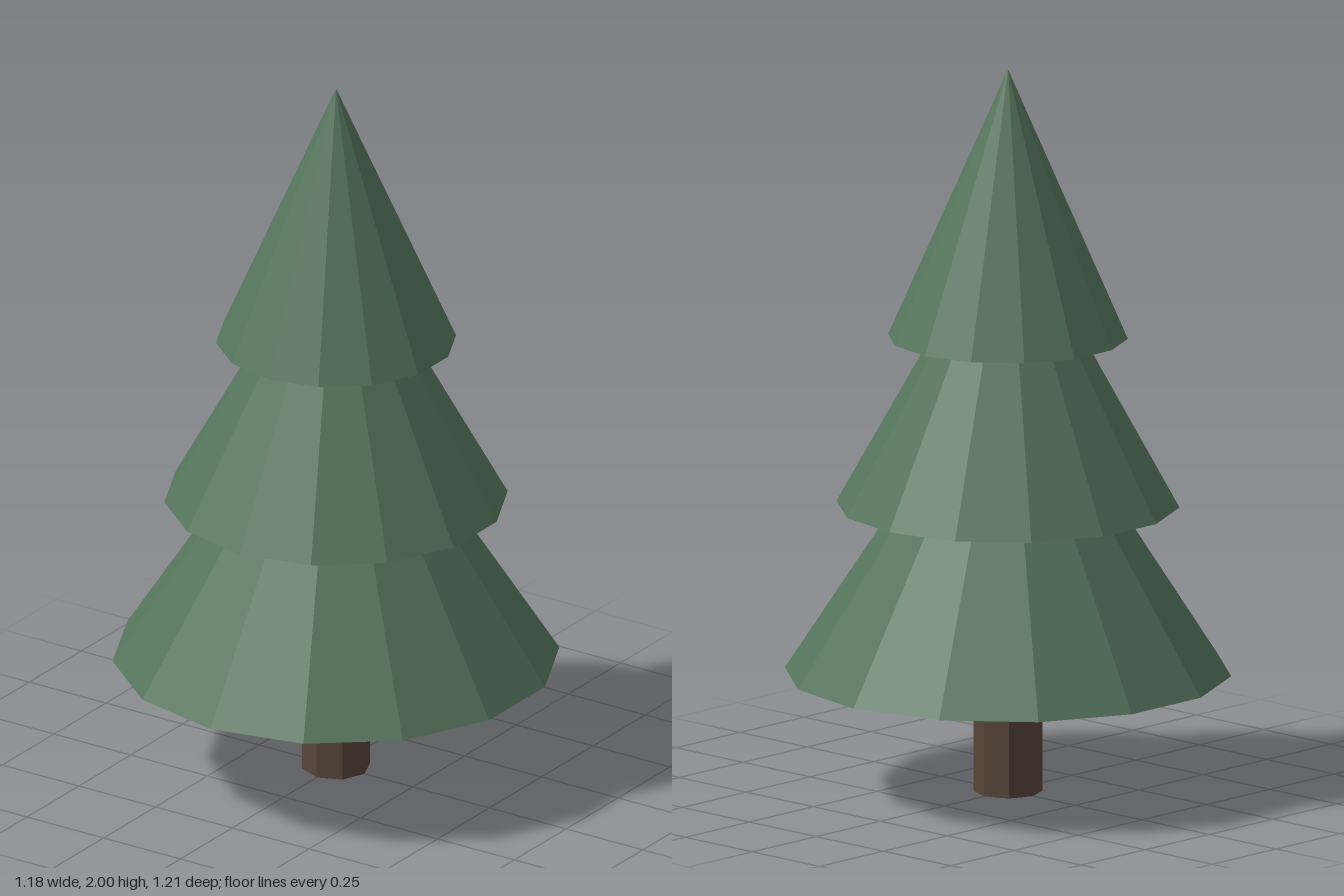
import * as THREE from 'three';

export function createModel() {
  const tree = new THREE.Group();
  tree.name = 'pineTree';

  const needleGreen = new THREE.MeshStandardMaterial({ color: 0x56755d, flatShading: true });
  needleGreen.name = 'needleGreen';
  const barkBrown = new THREE.MeshStandardMaterial({ color: 0x57463a, flatShading: true });
  barkBrown.name = 'barkBrown';

  // Eight-sided trunk, ending just inside the lowest tier
  const trunkHeight = 0.36;
  const trunk = new THREE.Mesh(new THREE.CylinderGeometry(0.093, 0.093, trunkHeight, 8), barkBrown);
  trunk.position.y = trunkHeight / 2;
  trunk.name = 'trunk';
  tree.add(trunk);

  // Three overlapping fourteen-sided cones of foliage
  const tiers = [
    { name: 'lowerFoliage', base: 0.33, radius: 0.605, height: 0.93 },
    { name: 'middleFoliage', base: 0.795, radius: 0.465, height: 0.835 },
    { name: 'topFoliage', base: 1.26, radius: 0.325, height: 0.74 },
  ];
  for (const { name, base, radius, height } of tiers) {
    const cone = new THREE.Mesh(new THREE.ConeGeometry(radius, height, 14), needleGreen);
    cone.position.y = base + height / 2;
    cone.name = name;
    tree.add(cone);
  }

  return tree;
}
